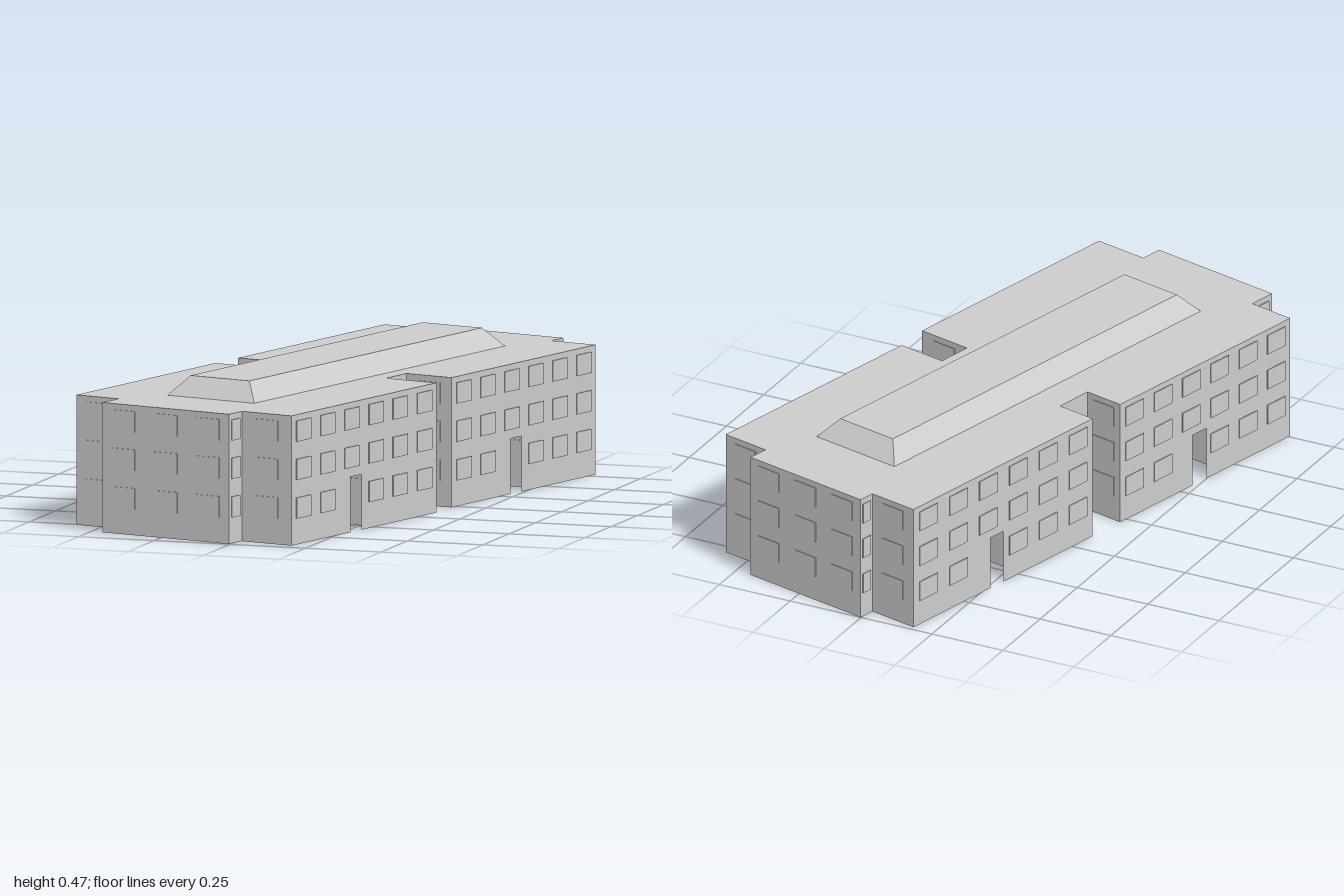
import * as THREE from 'three';

const H = 0.41;          // wall height
const PASS_H = 0.175;    // passage height
const PASS = [[-0.55, -0.41], [0.41, 0.55]];  // passages, from z to z
const ROWS = [0.115, 0.237, 0.358];           // window centre heights
const WIN_H = 0.066;

// Footprint corners [x, z], clockwise seen from above
const PLAN = [
  [-0.40, -0.917], [-0.23, -0.917], [-0.23, -0.973], [0.226, -0.973], [0.226, -0.903],
  [0.39, -0.903], [0.39, -0.067], [0.223, -0.067], [0.223, 0.052], [0.409, 0.052],
  [0.409, 0.893], [0.226, 0.893], [0.226, 0.968], [-0.243, 0.968], [-0.243, 0.874],
  [-0.40, 0.874], [-0.40, 0.066], [-0.265, 0.066], [-0.265, -0.065], [-0.40, -0.065],
];

export function createModel() {
  const grey = new THREE.MeshStandardMaterial({ color: 0xcccccc, side: THREE.DoubleSide });
  grey.name = 'concrete grey';
  const model = new THREE.Group();
  model.name = 'building';
  const block = new THREE.Group();
  block.name = 'rotatedBlock';
  block.rotation.y = -THREE.MathUtils.degToRad(13.4);
  model.add(block);

  const add = (geo, name, parent) => {
    const mesh = new THREE.Mesh(geo, grey);
    mesh.name = name;
    parent.add(mesh);
    return mesh;
  };
  const polygon = (pts) => new THREE.Shape(pts.map(([x, y]) => new THREE.Vector2(x, y)));

  // Wall facing outwards between two corners, with doorways [from, to] and window columns
  function wall(p, q, name, { height = H, doors = [], columns = 0, rows = ROWS } = {}) {
    const dx = p[0] - q[0], dz = p[1] - q[1];
    const length = Math.hypot(dx, dz);
    const group = new THREE.Group();
    group.name = name;
    group.position.set(q[0], 0, q[1]);
    group.rotation.y = Math.atan2(-dz, dx);
    block.add(group);

    const outline = [[0, 0]];
    for (const [a, b] of doors) outline.push([a, 0], [a, PASS_H], [b, PASS_H], [b, 0]);
    outline.push([length, 0], [length, height], [0, height]);
    add(new THREE.ShapeGeometry(polygon(outline)), 'wallFace', group);

    // Slightly raised window plates, left out where a doorway is
    const pitch = length / columns;
    const w = Math.min(0.085, pitch * 0.65);
    for (let i = 0; i < columns; i++) {
      const x = (i + 0.5) * pitch;
      for (const y of rows) {
        const blocked = y < PASS_H && doors.some(([a, b]) => x + w / 2 > a && x - w / 2 < b);
        if (blocked) continue;
        add(new THREE.BoxGeometry(w, WIN_H, 0.004), 'window', group).position.set(x, y, 0.001);
      }
    }
  }

  // Outer walls: long facades have a doorway near the middle
  const doorways = { 5: [-0.473, -0.408], 9: [0.486, 0.55], 15: [0.41, 0.475], 19: [-0.55, -0.488] };
  PLAN.forEach((p, i) => {
    const q = PLAN[(i + 1) % PLAN.length];
    const length = Math.hypot(p[0] - q[0], p[1] - q[1]);
    const door = doorways[i];
    const doors = door
      ? [door.map((z) => Math.abs(z - q[1])).sort((a, b) => a - b)] : [];
    let columns = 1;
    if (length > 0.7) columns = 6;
    else if (length > 0.4) columns = 3;
    else if (i === 7 || i === 17) columns = 0;
    wall(p, q, door ? 'longFacade' : 'endFacade', { doors, columns });
  });

  // Passages under the building: side walls and ceiling
  for (const [z0, z1] of PASS) {
    const east = z0 < 0 ? 0.39 : 0.409;
    const opts = { height: PASS_H, columns: 5, rows: [ROWS[0]] };
    wall([east, z0], [-0.40, z0], 'passageWall', opts);
    wall([-0.40, z1], [east, z1], 'passageWall', opts);
    const ceiling = new THREE.PlaneGeometry(east + 0.40, z1 - z0).rotateX(Math.PI / 2);
    add(ceiling, 'passageCeiling', block).position.set((east - 0.40) / 2, PASS_H, (z0 + z1) / 2);
  }

  // Flat roof
  const roof = new THREE.ShapeGeometry(polygon(PLAN.map(([x, z]) => [x, -z]))).rotateX(-Math.PI / 2);
  add(roof, 'flatRoof', block).position.y = H;

  // Undersides between the passages
  const floors = [
    [...PLAN.slice(0, 6), [0.39, -0.55], [-0.40, -0.55]],
    [[0.39, -0.41], ...PLAN.slice(6, 10), [0.409, 0.41], [-0.40, 0.41], ...PLAN.slice(16), [-0.40, -0.41]],
    [[0.409, 0.55], ...PLAN.slice(10, 16), [-0.40, 0.55]],
  ];
  for (const pts of floors) {
    add(new THREE.ShapeGeometry(polygon(pts)).rotateX(Math.PI / 2), 'underside', block);
  }

  // Raised roof block with sloping sides
  const hip = new THREE.BoxGeometry(0.322, 0.06, 1.456);
  const pos = hip.attributes.position;
  for (let i = 0; i < pos.count; i++) {
    if (pos.getY(i) > 0) {
      pos.setX(i, Math.sign(pos.getX(i)) * 0.109);
      pos.setZ(i, Math.sign(pos.getZ(i)) * 0.675);
    }
  }
  const flat = hip.toNonIndexed();
  flat.computeVertexNormals();
  add(flat, 'raisedRoof', block).position.set(0.005, H + 0.03, 0);

  return model;
}
